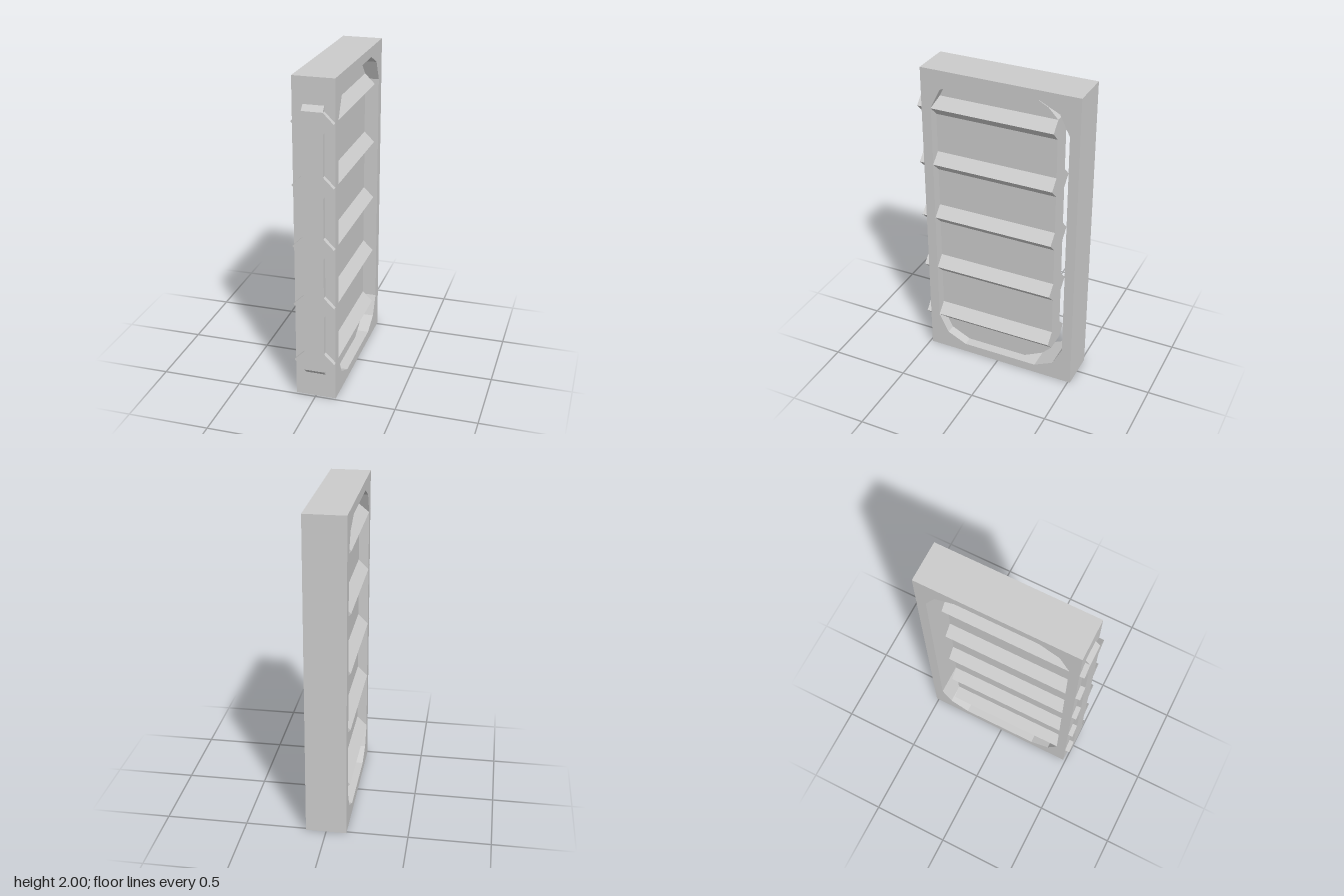
import * as THREE from 'three';

const HALF = 0.125;      // half thickness of the frame and rib crests
const CORE = 0.0625;     // half thickness of the panel
const RIB = 0.0625;      // half height of a rib
const Z0 = -0.355, Z1 = 0.515; // panel back and front edges

const material = new THREE.MeshStandardMaterial({ color: 0xcccccc, flatShading: true });
const toPoints = (list) => list.map(([a, b]) => new THREE.Vector2(a, b));

// Extrudes a (z, y) outline across x, centred on x = 0
function extrudeAcross(shape, halfWidth) {
  const g = new THREE.ExtrudeGeometry(shape, { depth: halfWidth * 2, bevelEnabled: false });
  return g.translate(0, 0, -halfWidth).rotateY(-Math.PI / 2);
}

function addMesh(group, name, geometry) {
  const mesh = new THREE.Mesh(geometry, material);
  mesh.name = name;
  group.add(mesh);
  return mesh;
}

export function createModel() {
  const model = new THREE.Group();
  model.name = 'ribbedPanelInFrame';

  // Rectangular frame with a chamfered opening
  const frame = new THREE.Shape(toPoints([[-0.515, 0], [0.485, 0], [0.485, 2], [-0.515, 2]]));
  const upper = [[0.423, 1.755], [0.36, 1.88], [0.235, 1.94], [-0.265, 1.94], [-0.39, 1.88], [-0.452, 1.755]];
  const lower = upper.map(([z, y]) => [z, 2 - y]).reverse();
  frame.holes.push(new THREE.Path(toPoints([...upper, ...lower])));
  addMesh(model, 'frame', extrudeAcross(frame, HALF));

  // Sliding panel: one (x, y) section with five pointed ribs per side
  const side = [];
  for (let i = 0; i < 5; i++) {
    const y = 0.25 + i * 0.375;
    side.push([CORE, y - RIB], [HALF, y], [CORE, y + RIB]);
  }
  const mirrored = side.map(([x, y]) => [-x, y]).reverse();
  const section = new THREE.Shape(toPoints([...side, ...mirrored]));
  const panel = new THREE.ExtrudeGeometry(section, { depth: Z1 - Z0, bevelEnabled: false });
  addMesh(model, 'ribbedPanel', panel.translate(0, 0, Z0));

  // Chamfered ends of the panel, top and bottom
  const end = [[Z0, 1.8125], [Z1, 1.8125], [0.453, 1.877], [0.33, 1.94], [-0.168, 1.94], [-0.293, 1.877]];
  const endGeometry = (pts) => extrudeAcross(new THREE.Shape(toPoints(pts)), CORE);
  addMesh(model, 'panelTop', endGeometry(end));
  addMesh(model, 'panelBottom', endGeometry(end.map(([z, y]) => [z, 2 - y])));

  return model;
}
